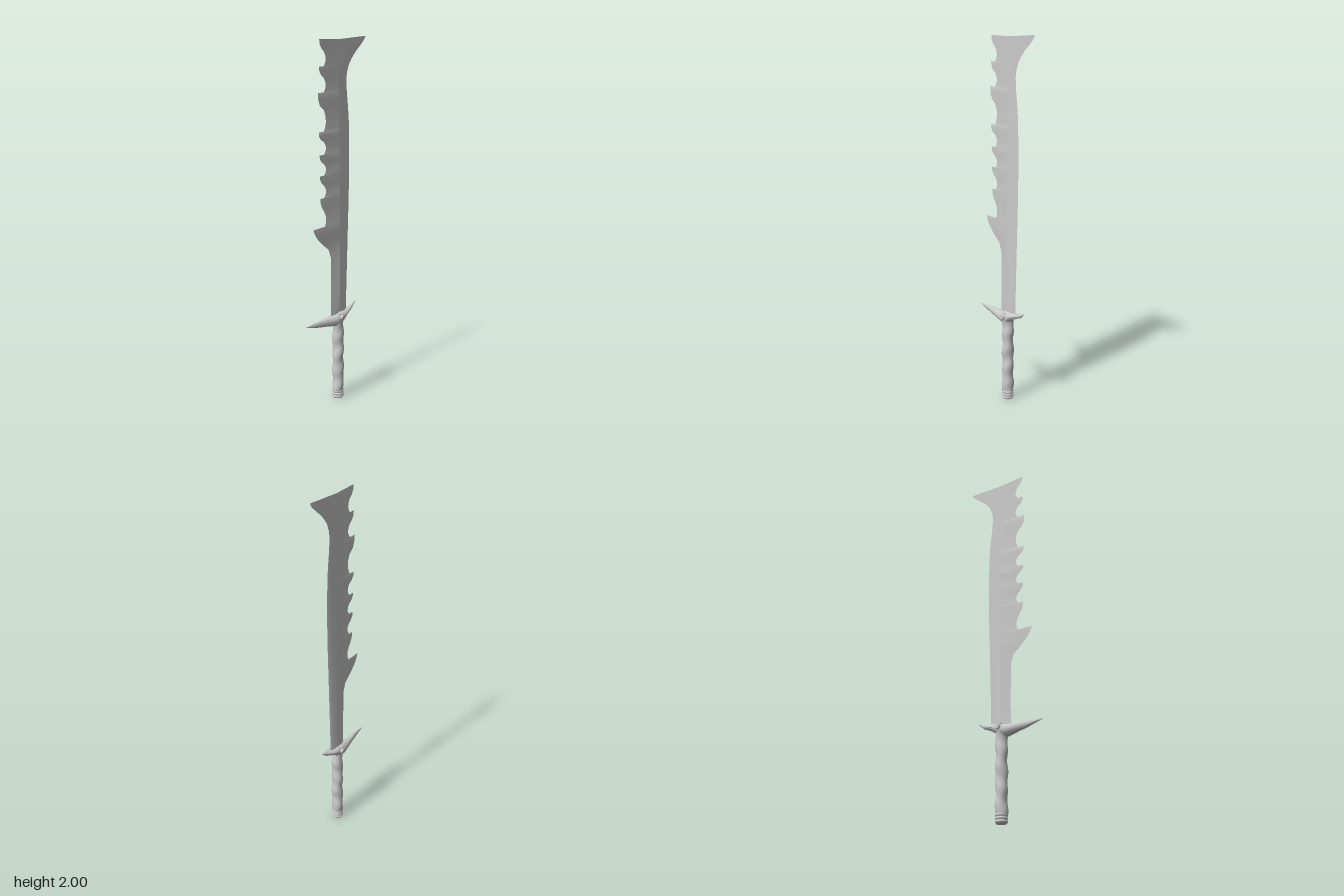
import * as THREE from 'three';
import { toCreasedNormals } from 'three/addons/utils/BufferGeometryUtils.js';

const grey = new THREE.MeshStandardMaterial({ color: 0xcccccc, side: THREE.DoubleSide });
const HANDLE_Z = -0.017;

// Skin a grid of points (rows x columns) with quads.
function skin(rows, flip = false) {
  const out = [];
  for (let i = 0; i < rows.length - 1; i++) {
    for (let j = 0; j < rows[i].length - 1; j++) {
      const a = rows[i][j], b = rows[i][j + 1], c = rows[i + 1][j + 1], d = rows[i + 1][j];
      const quad = flip ? [a, c, b, a, d, c] : [a, b, c, a, c, d];
      quad.forEach((p) => out.push(...p));
    }
  }
  return out;
}

function toGeometry(positions, crease) {
  const geo = new THREE.BufferGeometry();
  geo.setAttribute('position', new THREE.Float32BufferAttribute(positions, 3));
  return toCreasedNormals(geo, crease);
}

function makeMesh(name, geo, parent) {
  const mesh = new THREE.Mesh(geo, grey);
  mesh.name = name;
  parent.add(mesh);
  return mesh;
}

// Saw-toothed edge as [z, y], from the guard up to the tip.
function serratedEdge() {
  const pts = [[0.04, 0.48], [0.04, 0.65], [0.042, 0.84], [0.06, 0.89], [0.11, 0.93], [0.15, 0.97],
    [0.168, 1.0], [0.177, 1.022], [0.14, 1.013], [0.10, 1.012]];
  const teeth = [[1.18, 0.122], [1.30, 0.125], [1.41, 0.127], [1.53, 0.132], [1.73, 0.137], [1.86, 0.128], [1.995, 0.125]];
  let base = 1.015;
  for (const [top, tip] of teeth) {
    const h = top - base;
    pts.push([0.086, base + h * 0.08], [0.078, base + h * 0.22], [0.08, base + h * 0.38],
      [0.093, base + h * 0.55], [tip - 0.016, base + h * 0.66], [tip - 0.003, base + h * 0.82], [tip, top]);
    if (top < 1.9) pts.push([0.097, top - 0.003]);
    base = top;
  }
  return pts;
}

function bladeGeometry() {
  const back = [[-0.083, 0.48], [-0.083, 0.56], [-0.09, 0.78], [-0.096, 0.97], [-0.102, 1.15], [-0.105, 1.31],
    [-0.104, 1.45], [-0.10, 1.58], [-0.093, 1.65], [-0.084, 1.72], [-0.08, 1.785], [-0.085, 1.82], [-0.10, 1.86],
    [-0.122, 1.89], [-0.15, 1.92], [-0.19, 1.953], [-0.217, 1.977], [-0.232, 2.0], [-0.17, 1.992]];
  const ridgeZ = -0.02;
  const thick = (y) => 0.0125 * Math.max(0, 1 - Math.pow(Math.max(0, y - 0.5) / 1.49, 2));
  const frontRows = [], backRows = [];
  let last = 0;
  for (const [z, y] of serratedEdge()) {
    last = Math.max(last, Math.min(y, 1.99));
    frontRows.push([[0, y, z], [thick(last), last, ridgeZ]]);
  }
  last = 0;
  for (const [z, y] of back) {
    last = Math.max(last, Math.min(y, 1.99));
    const bevel = [thick(last) * 0.65, y + (last - y) * 0.25, z + (ridgeZ - z) * 0.25];
    backRows.push([[thick(last), last, ridgeZ], bevel, [0, y, z]]);
  }
  const positions = [];
  for (const rows of [frontRows, backRows]) {
    positions.push(...skin(rows));
    positions.push(...skin(rows.map((r) => r.map(([x, y, z]) => [-x, y, z])), true));
  }
  return toGeometry(positions, 0.5);
}

// Guard: rounded sections along z, each [z, bottom, top, half width].
function guardGeometry() {
  const sections = [[0.235, 0.494, 0.496, 0.001], [0.19, 0.48, 0.5, 0.006], [0.14, 0.466, 0.502, 0.012],
    [0.09, 0.456, 0.503, 0.02], [0.045, 0.446, 0.504, 0.028], [0.015, 0.44, 0.507, 0.034], [-0.02, 0.44, 0.522, 0.036],
    [-0.045, 0.462, 0.518, 0.033], [-0.07, 0.482, 0.517, 0.028], [-0.1, 0.495, 0.522, 0.019],
    [-0.13, 0.507, 0.531, 0.009], [-0.163, 0.539, 0.541, 0.001]];
  const sides = 12;
  const rows = sections.map(([z, lo, hi, w]) => Array.from({ length: sides + 1 }, (_, k) => {
    const a = (k / sides) * Math.PI * 2;
    return [Math.cos(a) * w, (lo + hi) / 2 + Math.sin(a) * (hi - lo) / 2, z];
  }));
  return toGeometry(skin(rows, true), 0.8);
}

// Grip: a tube with uneven, slanting wrap bulges.
function gripGeometry() {
  const geo = new THREE.CylinderGeometry(0.031, 0.031, 0.42, 20, 48);
  const p = geo.attributes.position;
  for (let i = 0; i < p.count; i++) {
    const x = p.getX(i), y = p.getY(i), z = p.getZ(i);
    const a = Math.atan2(z, x);
    const k = 1 + 0.07 * Math.sin(y * 62 + 1.3 * Math.sin(a)) + 0.04 * Math.sin(y * 35 + 2 * a);
    p.setX(i, x * k);
    p.setZ(i, z * k);
  }
  geo.computeVertexNormals();
  return geo.translate(0, 0.255, HANDLE_Z);
}

export function createModel() {
  const sword = new THREE.Group();
  sword.name = 'serratedSword';

  makeMesh('blade', bladeGeometry(), sword);
  makeMesh('guard', guardGeometry(), sword);

  // Studs on both sides of the guard
  for (const side of [1, -1]) {
    const stud = makeMesh('guardStud', new THREE.CylinderGeometry(0.013, 0.019, 0.022, 8), sword);
    stud.rotation.z = -side * Math.PI / 2;
    stud.position.set(side * 0.033, 0.49, HANDLE_Z);
  }

  // Collar between the grip and the blade
  const collar = makeMesh('collar', new THREE.CylinderGeometry(0.034, 0.03, 0.07, 12), sword);
  collar.position.set(0, 0.475, HANDLE_Z);
  collar.scale.z = 0.7;

  makeMesh('grip', gripGeometry(), sword);

  // Ringed pommel
  const profile = [[0, 0], [0.027, 0]];
  for (let i = 0; i < 3; i++) {
    const y = 0.003 + i * 0.016;
    profile.push([0.031, y + 0.002], [0.033, y + 0.006], [0.031, y + 0.011], [0.027, y + 0.014]);
  }
  profile.push([0.028, 0.055]);
  const pommel = new THREE.LatheGeometry(profile.map(([r, y]) => new THREE.Vector2(r, y)), 20);
  makeMesh('pommel', pommel, sword).position.z = HANDLE_Z;

  return sword;
}
